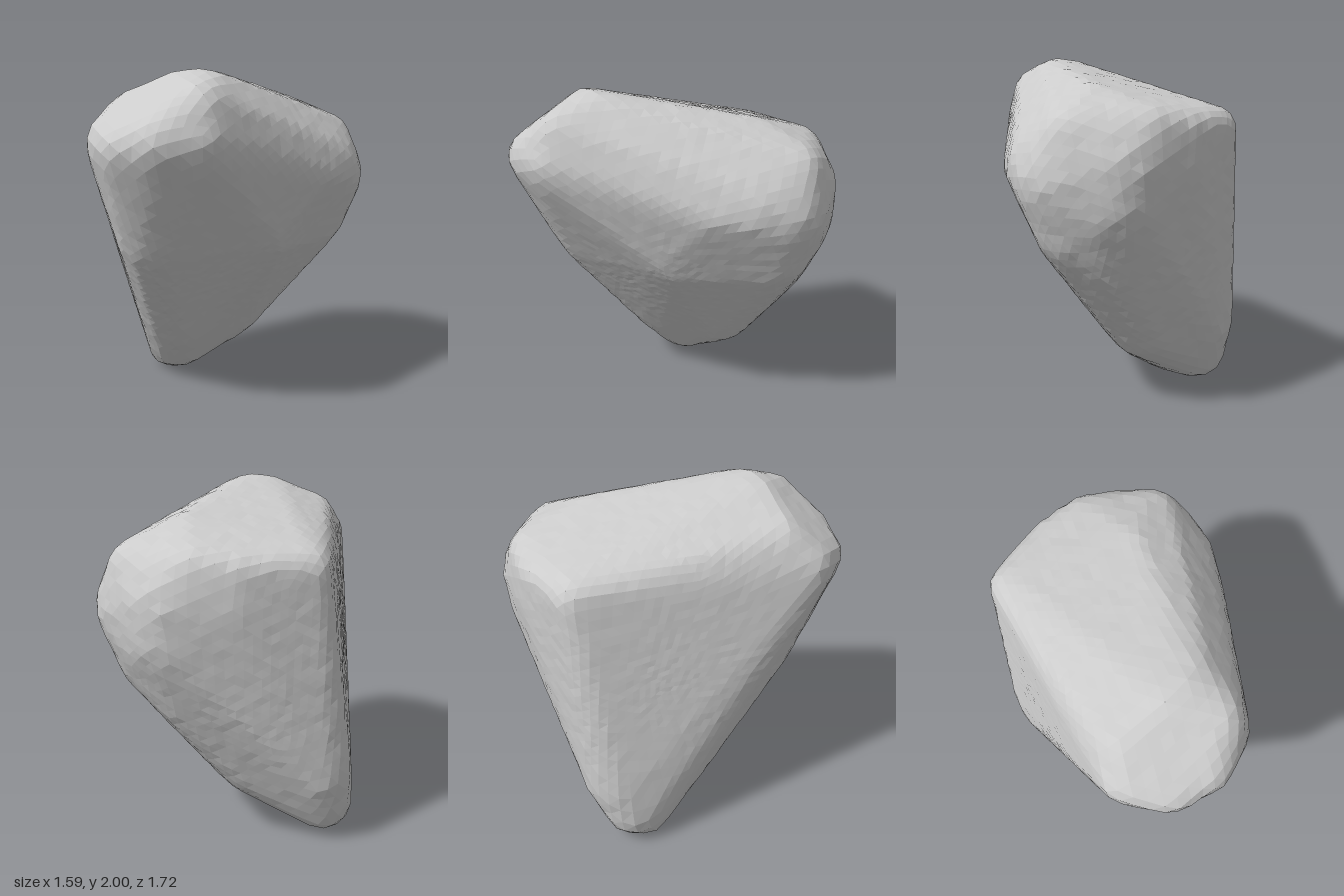
import * as THREE from 'three';
import { ConvexGeometry } from 'three/addons/geometries/ConvexGeometry.js';
import { mergeVertices } from 'three/addons/utils/BufferGeometryUtils.js';

// Rounded corners of the boulder: centre x, y, z and radius
const bottom = [
  [-0.48, 0.13, -0.45, 0.13], // tip
  [-0.45, 0.20, -0.52, 0.17],
  [-0.39, 0.24, -0.34, 0.20],
  [-0.39, 0.42, -0.56, 0.21], // lower back
];
const middle = [
  [-0.08, 0.48, -0.40, 0.25], // lower side bulges
  [-0.38, 0.48, -0.18, 0.25],
  [-0.43, 1.10, 0.32, 0.25], // front ridge
  [0.10, 1.12, 0.06, 0.27], // belly of the slanted face
  [0.46, 1.10, -0.35, 0.24], // side overhang
  [0.30, 0.95, -0.45, 0.25],
];
const back = [
  [-0.27, 1.60, -0.70, 0.13],
  [0.08, 1.60, -0.74, 0.12],
  [0.30, 1.60, -0.66, 0.15],
  [0.10, 1.42, -0.66, 0.20],
  [0.36, 1.42, -0.50, 0.32],
  [0.38, 1.26, -0.50, 0.30],
];
const side = [
  [0.50, 1.36, -0.33, 0.30], // widest point
  [0.54, 1.56, -0.40, 0.19],
  [0.46, 1.40, -0.20, 0.28],
  [0.38, 1.40, 0.00, 0.22],
  [0.30, 1.68, -0.30, 0.17], // swell of the top
];
const nose = [
  [-0.22, 1.62, 0.60, 0.23],
  [-0.17, 1.79, 0.62, 0.14],
  [-0.36, 1.62, 0.70, 0.165],
  [-0.55, 1.58, 0.64, 0.15],
  [-0.62, 1.60, 0.46, 0.18],
  [-0.56, 1.73, 0.36, 0.15],
  [-0.20, 1.87, 0.42, 0.13], // peak
  [-0.12, 1.84, 0.40, 0.15],
  [-0.30, 1.87, 0.40, 0.12],
];
const corners = [...bottom, ...middle, ...back, ...side, ...nose];

// Points spread evenly over one rounded corner
function ballPoints([x, y, z, r], count = 90) {
  const points = [];
  for (let i = 0; i < count; i++) {
    const h = 1 - (2 * i + 1) / count;
    const s = Math.sqrt(1 - h * h);
    const a = i * 2.399963;
    points.push(new THREE.Vector3(x + r * s * Math.cos(a), y + r * h, z + r * s * Math.sin(a)));
  }
  return points;
}

// Flat faces of the hull, as planes around the core
function hullPlanes(core) {
  const pos = new ConvexGeometry(corners.flatMap((c) => ballPoints(c))).getAttribute('position');
  const planes = [];
  const [a, b, c] = [0, 1, 2].map(() => new THREE.Vector3());
  for (let i = 0; i < pos.count; i += 3) {
    [a, b, c].forEach((v, k) => v.fromBufferAttribute(pos, i + k).sub(core));
    const plane = new THREE.Plane().setFromCoplanarPoints(a, b, c);
    if (plane.normal.lengthSq() > 0.5) planes.push({ n: plane.normal, h: -plane.constant });
  }
  return planes;
}

function seeded(seed) {
  return () => {
    seed = (seed * 16807) % 2147483647;
    return seed / 2147483647;
  };
}

export function createModel() {
  const core = new THREE.Vector3(-0.15, 1.1, -0.12);
  const planes = hullPlanes(core);
  const random = seeded(77);

  // Push a faceted sphere out to the hull, with slight chipping
  let geometry = new THREE.IcosahedronGeometry(1, 17);
  geometry.deleteAttribute('normal');
  geometry.deleteAttribute('uv');
  geometry = mergeVertices(geometry, 1e-4);
  const pos = geometry.getAttribute('position');
  const d = new THREE.Vector3();
  for (let i = 0; i < pos.count; i++) {
    d.fromBufferAttribute(pos, i).normalize();
    let t = Infinity;
    for (const { n, h } of planes) {
      const facing = n.dot(d);
      if (facing > 1e-6) t = Math.min(t, h / facing);
    }
    d.multiplyScalar(t * (1.005 - 0.005 * random())).add(core);
    pos.setXYZ(i, d.x, d.y, d.z);
  }

  // Stand it on the ground, centred
  geometry.computeBoundingBox();
  const box = geometry.boundingBox;
  const mid = box.getCenter(new THREE.Vector3());
  geometry.translate(-mid.x, -box.min.y, -mid.z);
  geometry.computeVertexNormals();

  const boulder = new THREE.Mesh(
    geometry,
    new THREE.MeshStandardMaterial({ color: 0xcccccc, flatShading: true }),
  );
  boulder.name = 'boulder';
  const group = new THREE.Group();
  group.name = 'rock';
  group.add(boulder);
  return group;
}
